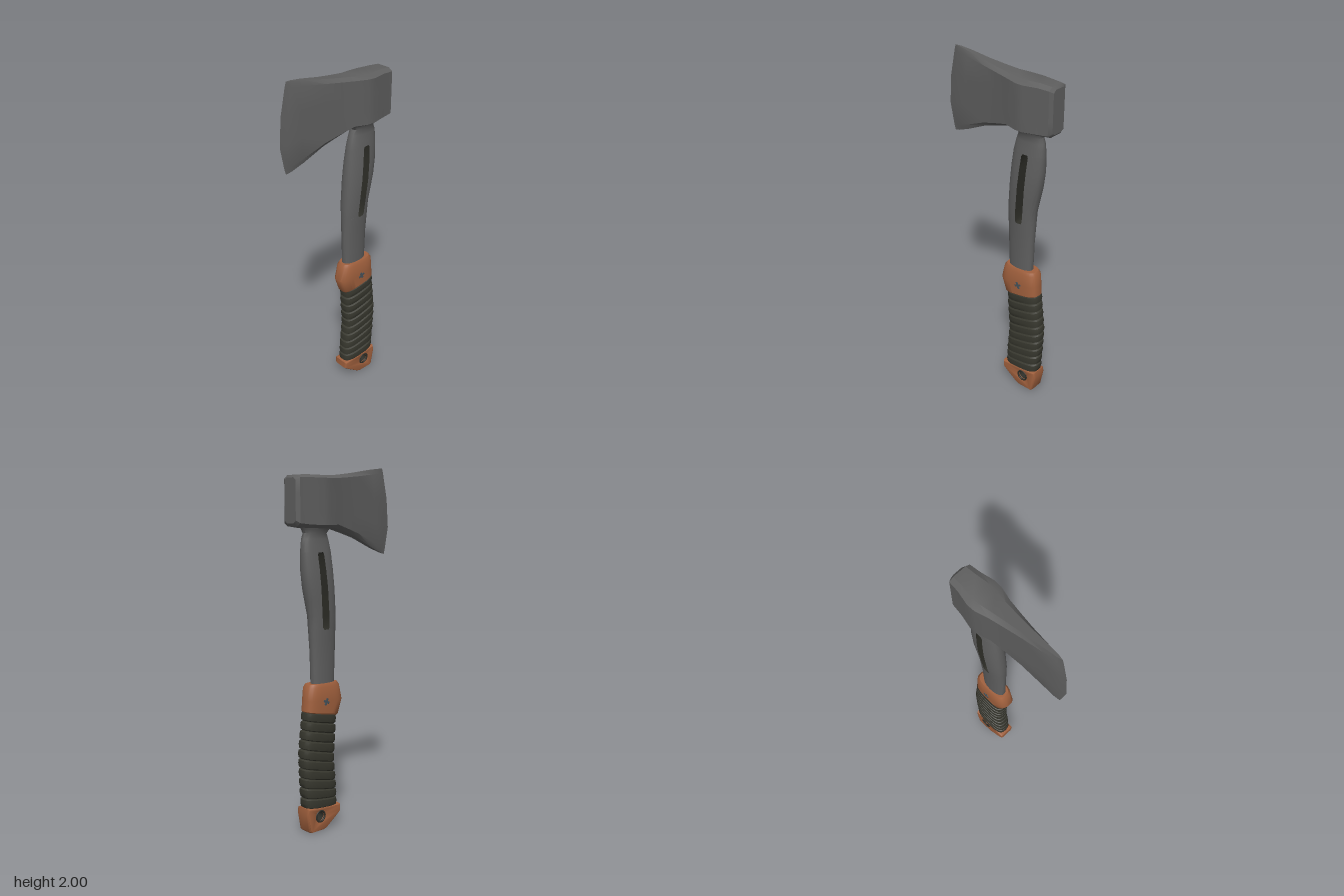
import * as THREE from 'three';
import { mergeGeometries, toCreasedNormals } from 'three/addons/utils/BufferGeometryUtils.js';

const material = (name, color, side = THREE.FrontSide) => {
  const m = new THREE.MeshStandardMaterial({ color, side });
  m.name = name;
  return m;
};

// Skin a list of equal-length point loops; optional closing and end caps
function loft(loops, { closed = true, caps = true } = {}) {
  const pos = [], n = loops[0].length;
  const tri = (a, b, c) => pos.push(...a, ...b, ...c);
  const centre = (l) => [0, 1, 2].map((k) => l.reduce((s, p) => s + p[k], 0) / n);
  for (let i = 0; i < loops.length - 1; i++) {
    for (let j = 0; j < (closed ? n : n - 1); j++) {
      const k = (j + 1) % n;
      const a = loops[i][j], b = loops[i][k], c = loops[i + 1][k], d = loops[i + 1][j];
      tri(a, b, c);
      tri(a, c, d);
    }
  }
  if (caps) {
    const first = loops[0], last = loops[loops.length - 1];
    const c0 = centre(first), c1 = centre(last);
    for (let j = 0; j < n; j++) {
      const k = (j + 1) % n;
      tri(c0, first[k], first[j]);
      tri(c1, last[j], last[k]);
    }
  }
  const g = new THREE.BufferGeometry();
  g.setAttribute('position', new THREE.Float32BufferAttribute(pos, 3));
  return g;
}

// Linear lookup in rows sorted by their first number
function sample(rows, t) {
  let i = 0;
  while (i < rows.length - 2 && t > rows[i + 1][0]) i++;
  const a = rows[i], b = rows[i + 1];
  const f = THREE.MathUtils.clamp((t - a[0]) / (b[0] - a[0]), 0, 1);
  return a.map((v, k) => v + (b[k] - v) * f);
}

const power = (v, p) => Math.sign(v) * Math.abs(v) ** p;

// Rounded-box ring around the handle, tilted up towards the back
function ring(y, zf, zb, hx, tilt, seg = 28) {
  const mid = (zf + zb) / 2, half = (zf - zb) / 2;
  return Array.from({ length: seg }, (_, i) => {
    const t = (i / seg) * Math.PI * 2;
    const s = power(Math.cos(t), 0.65);
    return [hx * power(Math.sin(t), 0.65), y - tilt * s, mid + half * s];
  });
}

// Head: stations along z of [z, half width, bottom, top, edge bow]
function headGeometry() {
  const stations = [
    [-0.357, 0.045, 1.69, 1.922, 0], [-0.343, 0.065, 1.675, 1.936, 0], [-0.28, 0.071, 1.668, 1.94, 0],
    [-0.2, 0.088, 1.665, 1.94, 0], [-0.155, 0.086, 1.665, 1.941, 0], [-0.08, 0.066, 1.668, 1.945, 0],
    [0, 0.052, 1.645, 1.955, 0], [0.1, 0.037, 1.615, 1.968, 0.15], [0.24, 0.022, 1.558, 1.989, 0.6],
    [0.325, 0.012, 1.53, 1.998, 0.95], [0.36, 0.0008, 1.52, 2, 1],
  ];
  // [height fraction, width factor, edge setback]
  const side = [[0, 0.6, -0.032], [0.06, 1, -0.024], [0.32, 1, 0], [0.65, 1, -0.012], [0.94, 1, -0.042], [1, 0.6, -0.05]];
  return loft(stations.map(([z, w, yb, yt, e]) => {
    const right = side.map(([v, f, bow]) => [w * f, yb + (yt - yb) * v, z + e * bow]);
    return [...right, ...right.map(([x, y, zz]) => [-x, y, zz]).reverse()];
  }));
}

// Shaft: [y, front z, back z, half width], split in two rails around a slot
function shaftGeometries() {
  const rows = [
    [0.8, -0.068, -0.22, 0.036], [1, -0.062, -0.224, 0.041], [1.2, -0.06, -0.235, 0.054],
    [1.35, -0.07, -0.268, 0.059], [1.45, -0.079, -0.282, 0.055], [1.55, -0.092, -0.284, 0.046],
    [1.61, -0.108, -0.278, 0.04], [1.64, -0.12, -0.266, 0.04], [1.66, -0.105, -0.275, 0.05], [1.685, -0.08, -0.29, 0.06],
  ];
  const y0 = 1.125, y1 = 1.54;
  const slot = [[y0, 0], [y0, 0.015], [y0 + 0.012, 0.022], [1.2, 0.023], [1.28, 0.023], [1.35, 0.023],
    [1.45, 0.022], [y1 - 0.012, 0.021], [y1, 0.015], [y1, 0]];
  const levels = [...[0.8, 0.9, 1, 1.07].map((y) => [y, 0]), ...slot, ...[1.575, 1.61, 1.64, 1.66, 1.685].map((y) => [y, 0])];
  const arc = ([y, gap], dir) => {
    const [, zf, zb, hx] = sample(rows, y);
    const mid = (zf + zb) / 2, half = (zf - zb) / 2;
    const zc = sample([[0.8, -0.14], [y0, -0.153], [y1, -0.19], [1.69, -0.19]], y)[1] + dir * gap;
    const p0 = Math.asin(((zc - mid) / half) * dir), steps = 8;
    const points = [];
    for (let k = 0; k <= steps; k++) {
      const p = p0 + (Math.PI / 2 - p0) * (k / steps);
      points.push([hx * Math.max(0, Math.cos(p)) ** 0.8, y, mid + dir * half * Math.sin(p)]);
    }
    // runs left edge, tip, right edge for the front rail and the reverse for the back
    const flip = (q) => [-q[0], q[1], q[2]];
    const other = points.slice(0, -1).map(flip);
    return dir > 0 ? [...other, ...points.slice().reverse()] : [...points, ...other.reverse()];
  };
  const open = { closed: false, caps: false };
  const rails = [1, -1].map((dir) => loft(levels.map((l) => arc(l, dir)), open));
  const walls = [1, -1].map((dir) => loft(slot.map((l) => {
    const a = arc(l, dir);
    return [a[a.length - 1], a[0]];
  }), open));
  return [mergeGeometries(rails), mergeGeometries(walls)];
}

// Grip: scalloped stack of slanted wraps
function gripGeometry() {
  const rows = [[0.12, -0.06, -0.285, 0.008], [0.25, -0.063, -0.295, 0.022], [0.42, -0.078, -0.302, 0.026],
    [0.58, -0.066, -0.284, 0.022], [0.67, -0.064, -0.275, 0.018]];
  const bands = 10, start = 0.13, pitch = (0.665 - start) / bands, loops = [];
  for (let i = 0; i < bands; i++) {
    for (const [f, inset] of [[0, 0.011], [0.12, 0.003], [0.5, 0], [0.86, 0.002], [0.96, 0.011]]) {
      const y = start + (i + f) * pitch;
      const [, zf, zb, tilt] = sample(rows, y);
      loops.push(ring(y, zf - inset, zb + inset, 0.055 - inset, tilt));
    }
  }
  return loft(loops);
}

function collarGeometry() {
  return loft([
    [0.655, -0.058, -0.265, 0.045, 0.018], [0.665, -0.05, -0.274, 0.054, 0.018], [0.735, -0.022, -0.27, 0.056, 0.008],
    [0.812, -0.042, -0.262, 0.055, 0], [0.83, -0.054, -0.25, 0.046, 0],
  ].map((r) => ring(...r)));
}

// Pommel: side outline with a lanyard hole, extruded across x
function pommelGeometry(hole) {
  const outline = [[0.05, 0.125], [0.05, 0.083], [0.075, 0.062], [0.15, 0.008], [0.17, 0], [0.262, 0],
    [0.272, 0.01], [0.291, 0.11], [0.286, 0.143]];
  const shape = new THREE.Shape(outline.map(([x, y]) => new THREE.Vector2(x, y)));
  shape.holes.push(new THREE.Path().absarc(-hole.z, hole.y, 0.026, 0, Math.PI * 2, true));
  const g = new THREE.ExtrudeGeometry(shape, {
    depth: 0.066, bevelThickness: 0.016, bevelSize: 0.01, bevelOffset: -0.01, bevelSegments: 3, curveSegments: 20,
  });
  return g.translate(0, 0, -0.033).rotateY(Math.PI / 2);
}

export function createModel() {
  const steel = material('dark steel', 0x5f5f5f);
  const leather = material('brown leather', 0xa0603d);
  const cord = material('dark olive cord', 0x37372e);
  const lining = material('dark lining', 0x2f2f29, THREE.DoubleSide);
  const rivetMetal = material('blue grey rivet', 0x46525a);
  const group = new THREE.Group();
  group.name = 'hatchet';
  const add = (name, geometry, mat, crease) => {
    const mesh = new THREE.Mesh(crease ? toCreasedNormals(geometry, crease) : geometry, mat);
    mesh.name = name;
    group.add(mesh);
    return mesh;
  };

  add('axeHead', headGeometry(), steel, 0.5);
  const [shaft, walls] = shaftGeometries();
  add('shaft', shaft, steel, 0.8);
  add('slotLining', walls, lining, 0.6);
  add('collar', collarGeometry(), leather, 0.65);
  add('gripWrap', gripGeometry(), cord, 0.7);

  // Pommel with lined lanyard hole
  const hole = new THREE.Vector3(0, 0.086, -0.2);
  add('pommel', pommelGeometry(hole), leather, 0.6);
  const sleeve = new THREE.CylinderGeometry(0.0255, 0.0255, 0.08, 20, 1, true).rotateZ(Math.PI / 2);
  add('holeSleeve', sleeve, lining).position.copy(hole);
  for (const s of [1, -1]) {
    const rim = new THREE.TorusGeometry(0.031, 0.006, 8, 24).rotateY(Math.PI / 2);
    add('holeRim', rim, lining).position.set(s * 0.046, hole.y, hole.z);
    // Small cross-head rivet on the collar
    for (const turn of [0.4, 0.4 + Math.PI / 2]) {
      const bar = add('collarRivet', new THREE.BoxGeometry(0.006, 0.04, 0.013), rivetMetal);
      bar.position.set(s * 0.0555, 0.73, -0.162);
      bar.rotation.x = turn;
    }
  }
  return group;
}
